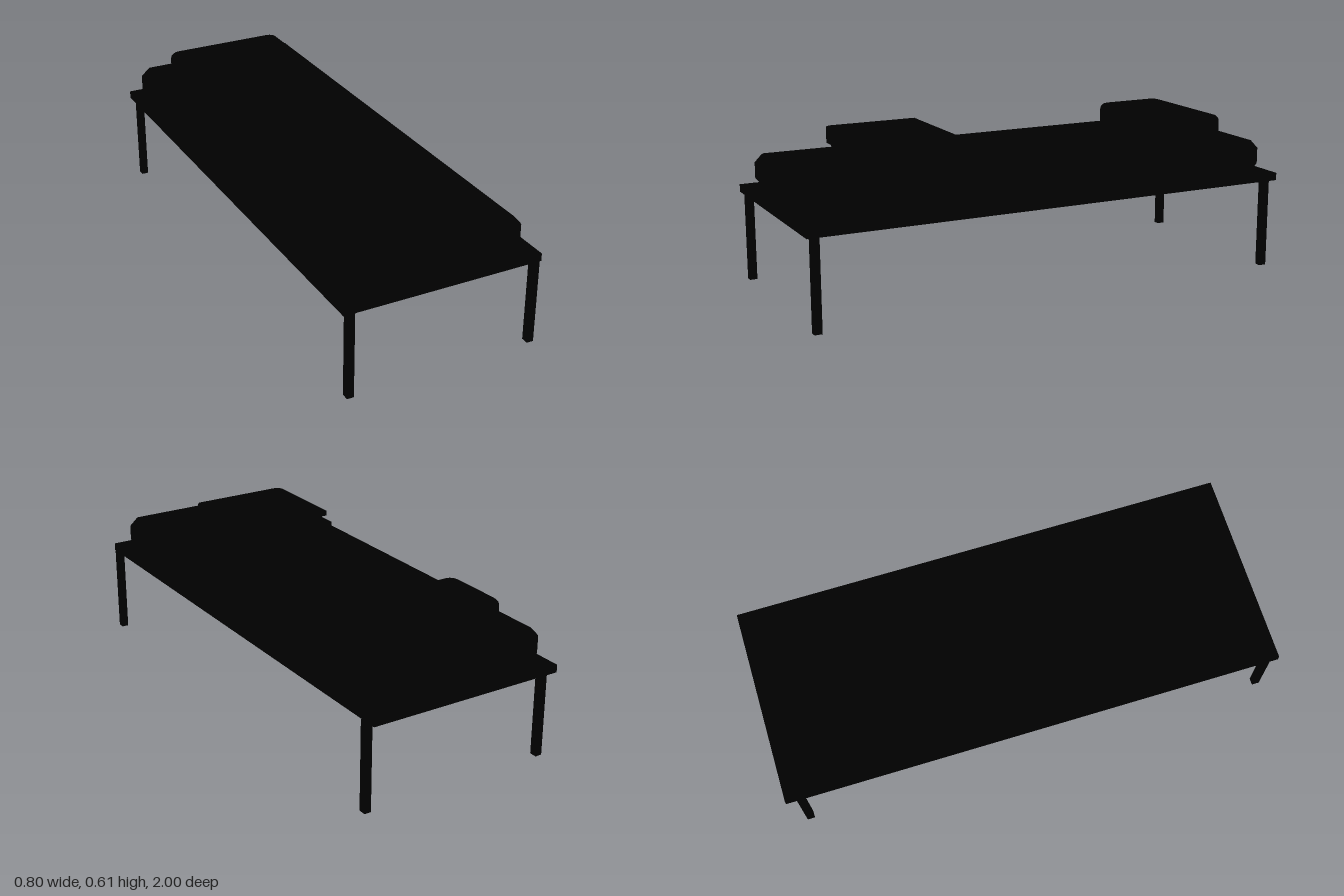
import * as THREE from 'three';

const black = new THREE.MeshStandardMaterial({ color: 0x000000 });

function part(parent, name, geometry, x = 0, y = 0, z = 0) {
  const mesh = new THREE.Mesh(geometry, black);
  mesh.name = name;
  mesh.position.set(x, y, z);
  parent.add(mesh);
  return mesh;
}

// Box between two corners
function boxPart(parent, name, x0, x1, y0, y1, z0, z1) {
  return part(parent, name, new THREE.BoxGeometry(x1 - x0, y1 - y0, z1 - z0),
    (x0 + x1) / 2, (y0 + y1) / 2, (z0 + z1) / 2);
}

// Upright slab with cut plan corners and bevelled top and bottom edges
function cushion(w, d, h, corner, bevel, thickness, segments) {
  const a = w / 2 - bevel, b = d / 2 - bevel, c = corner;
  const s = new THREE.Shape();
  s.moveTo(-a + c, -b);
  s.lineTo(a - c, -b);
  s.quadraticCurveTo(a, -b, a, -b + c);
  s.lineTo(a, b - c);
  s.quadraticCurveTo(a, b, a - c, b);
  s.lineTo(-a + c, b);
  s.quadraticCurveTo(-a, b, -a, b - c);
  s.lineTo(-a, -b + c);
  s.quadraticCurveTo(-a, -b, -a + c, -b);
  const g = new THREE.ExtrudeGeometry(s, {
    depth: h - 2 * thickness, bevelEnabled: true, bevelSize: bevel,
    bevelThickness: thickness, bevelSegments: segments, curveSegments: segments,
  });
  g.rotateX(-Math.PI / 2);
  g.translate(0, thickness, 0);
  return g;
}

// Folded blanket: S-shaped side profile (z, y) swept across the bed
function blanketGeometry(x0, x1) {
  const profile = [
    [0.31, 0.609], [0.67, 0.609], [0.69, 0.609], [0.69, 0.545], [0.67, 0.545],
    [0.32, 0.545], [0.312, 0.5375], [0.32, 0.53], [0.665, 0.53], [0.665, 0.505],
    [0.27, 0.505], [0.245, 0.505], [0.245, 0.572], [0.27, 0.572],
    [0.65, 0.572], [0.658, 0.58], [0.65, 0.588], [0.31, 0.588],
  ];
  const shape = new THREE.Shape(profile.map(([z, y]) => new THREE.Vector2(-z, y)));
  const g = new THREE.ExtrudeGeometry(shape, { depth: x1 - x0, bevelEnabled: false });
  g.rotateY(Math.PI / 2);
  g.translate(x0, 0, 0);
  // Cut the corners at both fold ends
  const p = g.attributes.position, mid = (x0 + x1) / 2;
  for (let i = 0; i < p.count; i++) {
    const z = p.getZ(i);
    const inset = z < 0.25 ? 0.025 : z > 0.685 ? 0.015 : 0;
    p.setX(i, p.getX(i) - Math.sign(p.getX(i) - mid) * inset);
  }
  g.computeVertexNormals();
  return g;
}

export function createModel() {
  const bed = new THREE.Group();
  bed.name = 'bed';

  // Flat base board on four thin legs
  boxPart(bed, 'baseBoard', -0.4, 0.395, 0.35, 0.38, -1, 1);
  const legs = [
    ['frontLeftLeg', 0.3865, 0.97], ['frontRightLeg', -0.3635, 0.975],
    ['backLeftLeg', 0.3865, -0.945], ['backRightLeg', -0.3775, -0.945],
  ];
  for (const [name, x, z] of legs) {
    boxPart(bed, name, x - 0.0135, x + 0.0135, 0, 0.352, z - 0.015, z + 0.015);
  }

  // Bedding
  part(bed, 'mattress', cushion(0.717, 1.908, 0.127, 0.012, 0.026, 0.032, 1), -0.0085, 0.38, 0);
  part(bed, 'pillow', cushion(0.504, 0.299, 0.109, 0.02, 0.025, 0.025, 3), -0.02, 0.495, -0.693);
  part(bed, 'foldedBlanket', blanketGeometry(-0.265, 0.15));
  return bed;
}
